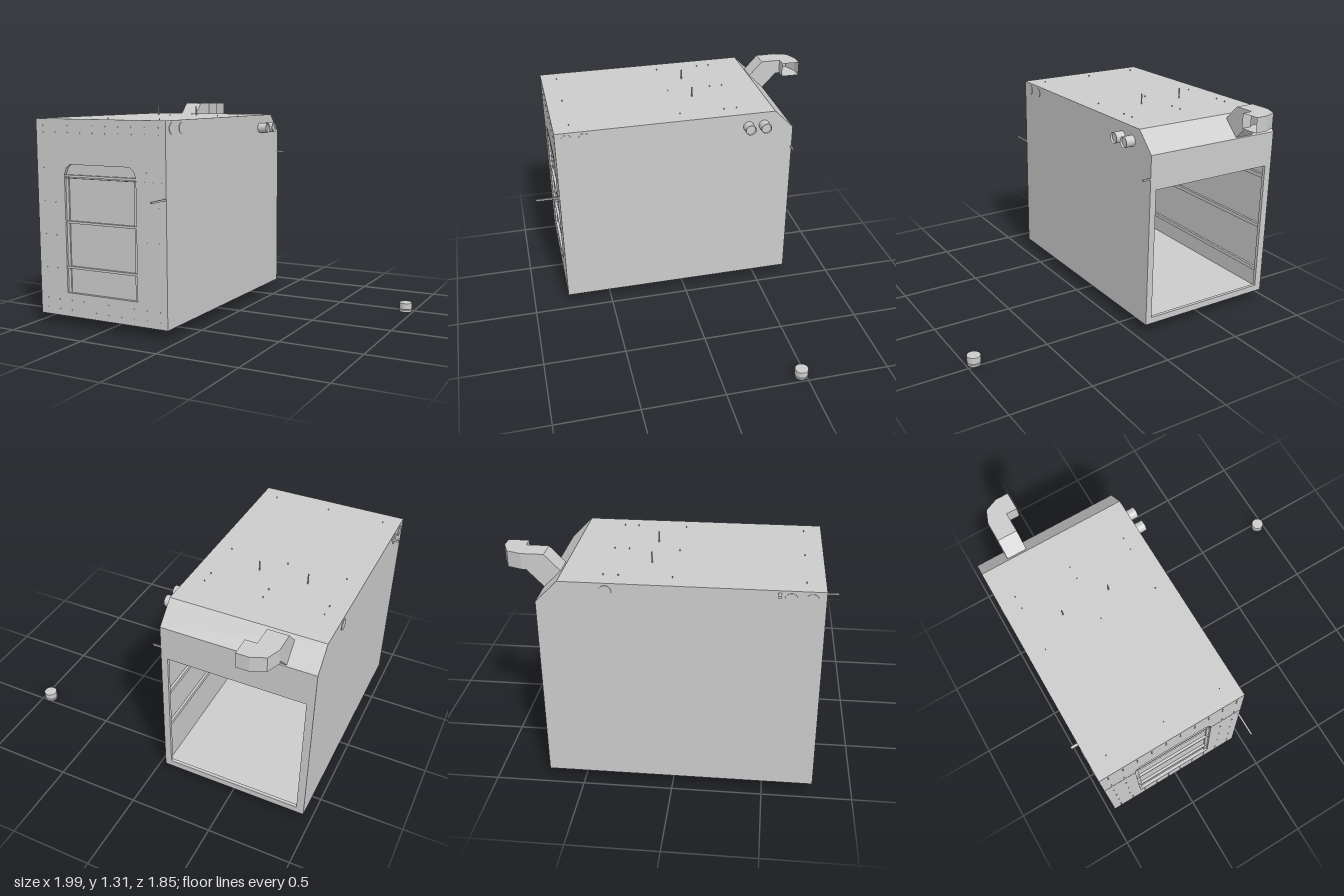
import * as THREE from 'three';

const L = -0.96, R = -0.06, B = 0.06, T = 1.24, F = 0.78, K = -0.7, W = 0.015;
const CX = (L + R) / 2;
const grey = new THREE.MeshStandardMaterial({ color: 0xcccccc, side: THREE.DoubleSide });
const flat = new THREE.MeshStandardMaterial({ color: 0xcccccc, side: THREE.DoubleSide, flatShading: true });

export function createModel() {
  const model = new THREE.Group();

  const add = (name, geo, x = 0, y = 0, z = 0, mat = grey) => {
    const m = new THREE.Mesh(geo, mat);
    m.name = name;
    m.position.set(x, y, z);
    model.add(m);
    return m;
  };
  // box given by its limits on each axis
  const box = (name, x0, x1, y0, y1, z0, z1) =>
    add(name, new THREE.BoxGeometry(x1 - x0, y1 - y0, z1 - z0), (x0 + x1) / 2, (y0 + y1) / 2, (z0 + z1) / 2);
  // cylinder along an axis, centred
  const rod = (name, axis, r, len, x, y, z, sides = 24, open = false) => {
    const g = new THREE.CylinderGeometry(r, r, len, sides, 1, open);
    if (axis === 'x') g.rotateZ(Math.PI / 2);
    if (axis === 'z') g.rotateX(Math.PI / 2);
    return add(name, g, x, y, z);
  };
  const poly = (pts) => new THREE.Shape(pts.map(([a, b]) => new THREE.Vector2(a, b)));
  const rect = (x0, x1, y0, y1) => poly([[x0, y0], [x1, y0], [x1, y1], [x0, y1]]);
  const extrude = (shape, depth) => new THREE.ExtrudeGeometry(shape, { depth, bevelEnabled: false });
  // profile in (z, y), extruded from x1 down towards -x
  const profileX = (name, pts, x1, depth) =>
    add(name, extrude(poly(pts), depth).rotateY(-Math.PI / 2), x1);

  // shell
  const side = [[F, B], [F, T], [-0.58, T], [K, 1.12], [K, B]];
  profileX('rightSideWall', side, L + W, W);
  profileX('leftSideWall', side, R, W);
  box('roof', L + W, R - W, T - W, T, -0.58, F);
  box('floor', L + W, R - W, B, B + W, K, F);
  profileX('slopedRoofEdge', [[-0.58, T], [K, 1.12], [K + W, 1.11], [-0.58, T - W]], R - W, R - L - 2 * W);

  const back = rect(L + W, R - W, B, 1.12);
  back.holes.push(rect(-0.915, -0.1, 0.1, 0.91));
  add('rearFrame', extrude(back, 0.02), 0, 0, K);

  // front wall with the recessed door
  const doorOutline = [[-0.76, 0.205], [-0.26, 0.205], [-0.26, 0.915], [-0.275, 0.955],
    [-0.3, 0.975], [-0.72, 0.975], [-0.745, 0.955], [-0.76, 0.915]];
  const front = rect(L + W, R - W, B, T);
  front.holes.push(poly(doorOutline));
  add('frontWall', extrude(front, 0.025), 0, 0, F - 0.025);
  box('doorPanel', -0.77, -0.25, 0.195, 0.985, F - 0.04, F - 0.02);
  for (const y of [0.36, 0.633, 0.907]) box('doorCrossbar', -0.76, -0.26, y - 0.007, y + 0.007, F - 0.02, F - 0.004);
  for (const x of [-0.75, -0.27]) box('doorEdgeStrip', x - 0.01, x + 0.01, 0.205, 0.9, F - 0.02, F - 0.012);
  box('frontSeam', L, R, 0.893, 0.897, F, F + 0.001);

  // square exhaust duct: corners are inner top, outer top, outer bottom, inner bottom
  const level = (xi, zi, xo, zo) => [[xi, 1.31, zi], [xo, 1.31, zo], [xo, 1.22, zo], [xi, 1.22, zi]];
  const loops = [
    [[-0.67, 1.22, -0.6], [-0.79, 1.22, -0.6], [-0.79, 1.125, -0.695], [-0.67, 1.125, -0.695]],
    [[-0.67, 1.31, -0.685], [-0.79, 1.31, -0.685], [-0.79, 1.22, -0.785], [-0.67, 1.22, -0.785]],
    level(-0.67, -0.81, -0.79, -0.81),
    level(-0.67, -0.81, -0.76, -0.89),
    level(-0.67, -0.81, -0.68, -0.925),
    level(-0.605, -0.81, -0.605, -0.925),
  ];
  const pos = [];
  for (let i = 0; i + 1 < loops.length; i++) {
    for (let j = 0; j < 4; j++) {
      const k = (j + 1) % 4;
      const [a, b, c, d] = [loops[i][j], loops[i][k], loops[i + 1][k], loops[i + 1][j]];
      pos.push(...a, ...b, ...c, ...a, ...c, ...d);
    }
  }
  const duct = new THREE.BufferGeometry();
  duct.setAttribute('position', new THREE.Float32BufferAttribute(pos, 3));
  duct.computeVertexNormals();
  add('exhaustDuct', duct, 0, 0, 0, flat);

  // side pipe stubs and round vent covers
  for (const z of [-0.41, -0.51]) {
    rod('pipeStub', 'x', 0.033, 0.06, R + 0.03, 1.155, z, 24, true);
    rod('pipeStubPlug', 'x', 0.031, 0.004, R + 0.045, 1.155, z);
  }
  for (const z of [0.71, 0.605]) {
    for (const x of [L, R]) rod('ventCover', 'x', 0.033, 0.006, x, 1.195, z);
  }
  rod('rearVentCover', 'x', 0.033, 0.006, L, 1.195, -0.335);

  // loose cap standing beside the unit
  const cap = [[0, 0], [0.038, 0], [0.04, 0.004], [0.04, 0.014], [0.036, 0.017], [0.04, 0.02], [0.04, 0.058], [0.036, 0.06], [0, 0.06]];
  add('looseCap', new THREE.LatheGeometry(cap.map(([r, y]) => new THREE.Vector2(r, y)), 28), 0.953, 0, -0.47, flat);

  // roof rods and thin brackets on the walls
  for (const x of [-0.39, -0.68]) rod('roofRod', 'y', 0.004, 0.065, x, T + 0.03, -0.13, 10);
  box('frontBar', -0.073, -0.063, 0.8, 0.81, F, 0.925);
  box('sideBar', R, -0.01, 0.976, 0.986, -0.7, -0.692);
  box('rightBracket', -1, L, 1.215, 1.228, 0.54, 0.555);

  // small bolts on the roof and front
  for (const x of [-0.86, -0.51, -0.16]) {
    for (const z of [-0.36, -0.28, 0, 0.68]) rod('roofBolt', 'y', 0.003, 0.016, x, T, z, 6);
  }
  for (const y of [0.1, 0.16, 1.16, 1.2]) {
    for (let i = 0; i < 10; i++) rod('frontBolt', 'z', 0.004, 0.006, -0.91 + i * 0.089, y, F, 6);
  }
  for (const x of [-0.91, -0.83, -0.19, -0.11]) {
    for (let i = 0; i < 4; i++) rod('frontBolt', 'z', 0.004, 0.006, x, 0.35 + i * 0.2, F, 6);
  }

  // inner wall rails
  for (const y of [0.2, 0.5, 0.83]) {
    box('rightWallRail', L + W, L + 0.03, y - 0.012, y + 0.012, K + 0.02, F - 0.04);
  }
  for (const y of [0.38, 0.63]) {
    box('leftWallRail', R - 0.03, R - W, y - 0.012, y + 0.012, K + 0.02, F - 0.04);
  }

  // ceiling rack: cross beams, long bars and bent pipes
  for (let i = 0; i < 6; i++) box('ceilingBeam', -0.82, -0.2, 1.13, 1.155, -0.4 + i * 0.16, -0.375 + i * 0.16);
  for (const x of [-0.72, -0.51, -0.3]) box('ceilingBar', x - 0.012, x + 0.012, 1.155, T - W, -0.45, 0.5);
  for (let i = 0; i < 4; i++) {
    const z = -0.3 + i * 0.16;
    const bend = new THREE.CatmullRomCurve3([[-0.75, 1.2], [-0.72, 1.11], [CX, 1.08], [-0.3, 1.11], [-0.27, 1.2]]
      .map(([x, y]) => new THREE.Vector3(x, y, z)));
    add('ceilingPipe', new THREE.TubeGeometry(bend, 24, 0.012, 8));
  }

  // hanging rod and inner door handle
  rod('hangingRod', 'y', 0.006, 0.75, -0.3, 0.8, 0.3, 10);
  box('innerHandle', -0.54, -0.49, 0.5, 0.58, F - 0.07, F - 0.04);

  return model;
}
